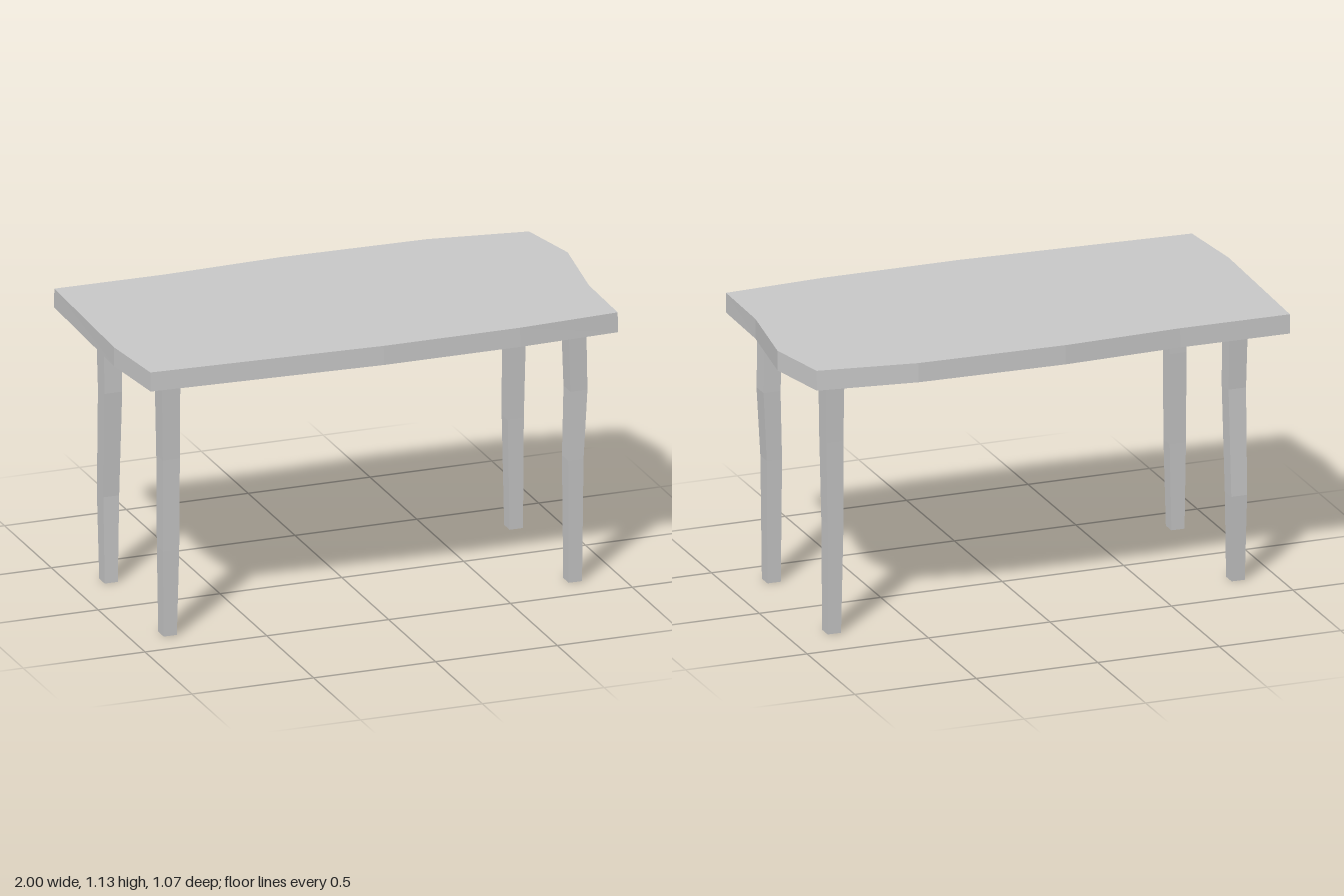
import * as THREE from 'three';

const material = new THREE.MeshStandardMaterial({ color: 0xcccccc, flatShading: true });

// Hand-cut tabletop outline as [x, z]
const OUTLINE = [
  [-0.98, -0.52], [-0.53, -0.515], [-0.05, -0.535], [0.55, -0.52], [0.945, -0.46],
  [1, -0.19], [0.945, 0.18], [0.94, 0.5], [0.53, 0.525], [-0.03, 0.525],
  [-0.55, 0.5], [-0.97, 0.48], [-1, 0.17],
];
const TOP_Y = 1.13, UNDER_Y = 1.053;

function makeTabletop() {
  const shape = new THREE.Shape(OUTLINE.map(([x, z]) => new THREE.Vector2(x, z)));
  const geometry = new THREE.ExtrudeGeometry(shape, { depth: TOP_Y - UNDER_Y, bevelEnabled: false });
  geometry.rotateX(Math.PI / 2).translate(0, TOP_Y, 0);
  // The underside flares a touch and dips at the right-hand end
  const p = geometry.attributes.position;
  for (let i = 0; i < p.count; i++) {
    if (p.getY(i) > 1.1) continue;
    p.setZ(i, p.getZ(i) * 1.006);
    if (p.getX(i) > 0.9) p.setY(i, UNDER_Y - 0.003);
  }
  geometry.computeVertexNormals();
  return new THREE.Mesh(geometry, material);
}

// Square leg whose corners follow rings of [y, xMin, xMax, zMin, zMax], foot first
function makeLeg(rings) {
  const geometry = new THREE.BoxGeometry(1, 1, 1, 1, rings.length - 1, 1);
  const p = geometry.attributes.position;
  for (let i = 0; i < p.count; i++) {
    const [y, x0, x1, z0, z1] = rings[Math.round((p.getY(i) + 0.5) * (rings.length - 1))];
    p.setXYZ(i, p.getX(i) < 0 ? x0 : x1, y, p.getZ(i) < 0 ? z0 : z1);
  }
  geometry.computeVertexNormals();
  return new THREE.Mesh(geometry, material);
}

const LEGS = {
  frontLeftLeg: [
    [0, 0.79, 0.845, 0.308, 0.367], [0.5, 0.787, 0.85, 0.303, 0.37],
    [0.78, 0.796, 0.866, 0.296, 0.37], [1.06, 0.785, 0.857, 0.298, 0.38],
  ],
  backLeftLeg: [
    [0, 0.79, 0.845, -0.322, -0.263], [0.45, 0.781, 0.847, -0.325, -0.26],
    [0.78, 0.783, 0.853, -0.328, -0.254], [1.06, 0.78, 0.857, -0.333, -0.253],
  ],
  frontRightLeg: [
    [0, -0.872, -0.818, 0.308, 0.367], [0.35, -0.877, -0.81, 0.306, 0.371],
    [0.72, -0.877, -0.807, 0.3, 0.37], [1.06, -0.884, -0.808, 0.3, 0.378],
  ],
  backRightLeg: [
    [0, -0.872, -0.818, -0.322, -0.263], [0.35, -0.875, -0.81, -0.339, -0.27],
    [0.78, -0.878, -0.806, -0.32, -0.248], [1.06, -0.882, -0.806, -0.331, -0.252],
  ],
};

export function createModel() {
  const group = new THREE.Group();
  group.name = 'table';
  const top = makeTabletop();
  top.name = 'tabletop';
  group.add(top);
  for (const [name, rings] of Object.entries(LEGS)) {
    const leg = makeLeg(rings);
    leg.name = name;
    group.add(leg);
  }
  return group;
}
